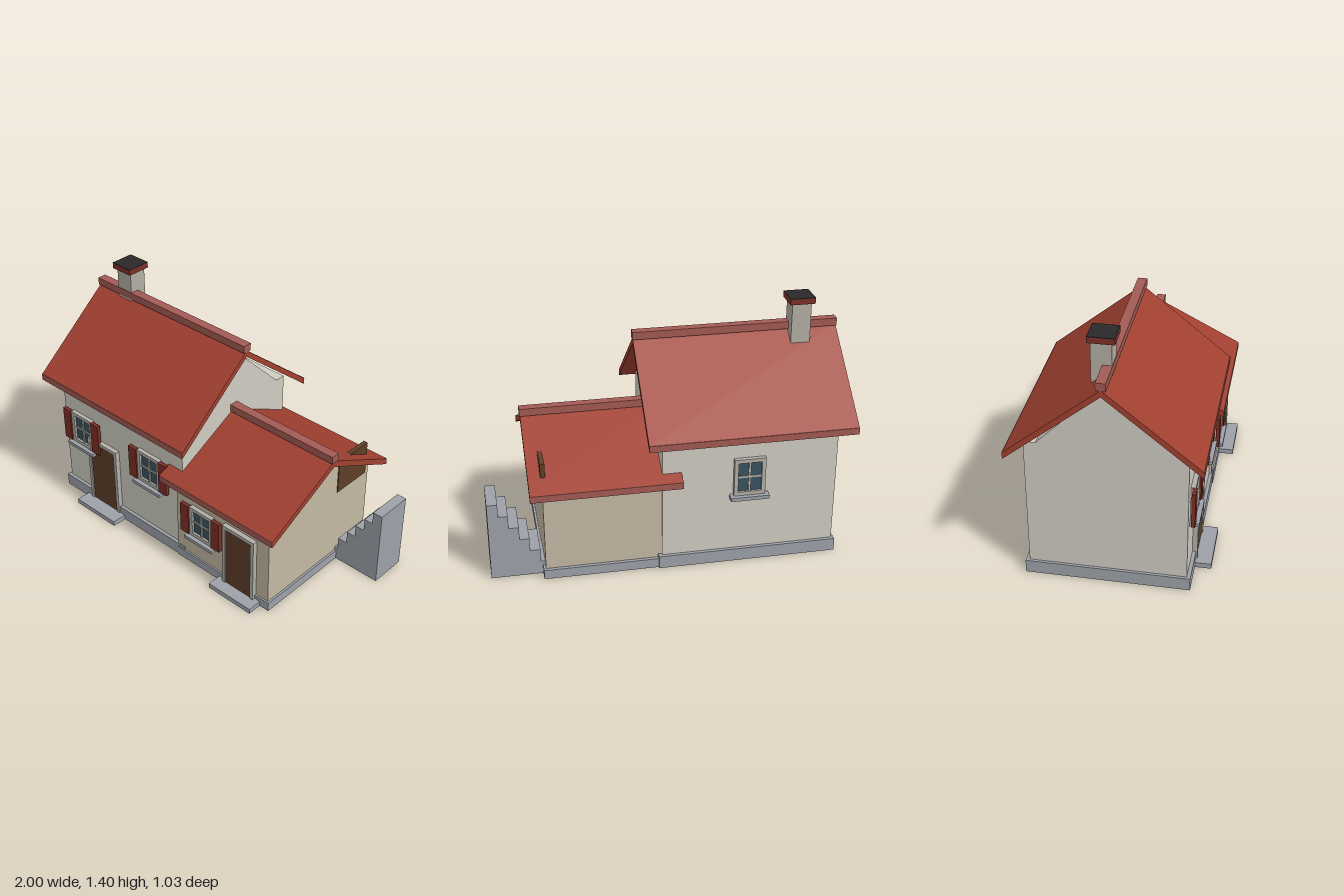
import * as THREE from 'three';

const mat = (color, side = THREE.FrontSide) =>
  new THREE.MeshStandardMaterial({ color, side, flatShading: true });

const M = {
  wall: mat(0xcfccc2), annexWall: mat(0xc3b8a3), stone: mat(0x9da1a8),
  roof: mat(0xa04030), ridge: mat(0xa35a54), shutter: mat(0x7d2f27),
  wood: mat(0x5e3f28), frame: mat(0xb3b0a8), glass: mat(0x3a5260),
  chimney: mat(0xb3aea3), soot: mat(0x2a2828),
};

// Box given by its min and max along each axis
function box(parent, name, material, [x0, x1], [y0, y1], [z0, z1]) {
  const mesh = new THREE.Mesh(new THREE.BoxGeometry(x1 - x0, y1 - y0, z1 - z0), material);
  mesh.position.set((x0 + x1) / 2, (y0 + y1) / 2, (z0 + z1) / 2);
  mesh.name = name;
  parent.add(mesh);
  return mesh;
}

// [z, y] cross-section drawn out along x
function prism(parent, name, material, points, x0, x1) {
  const shape = new THREE.Shape(points.map(([z, y]) => new THREE.Vector2(-z, y)));
  const geo = new THREE.ExtrudeGeometry(shape, { depth: x1 - x0, bevelEnabled: false });
  geo.rotateY(Math.PI / 2);
  const mesh = new THREE.Mesh(geo, material);
  mesh.position.x = x0;
  mesh.name = name;
  parent.add(mesh);
}

// Walls with a gable set slightly in from the eaves
function walls(parent, name, material, [x0, x1], [z0, z1], eave, gable, apex) {
  const c = (z0 + z1) / 2;
  prism(parent, name, material, [
    [z1, 0.02], [z1, eave], [c + gable, eave], [c, apex],
    [c - gable, eave], [z0, eave], [z0, 0.02],
  ], x0, x1);
}

// Pitched roof with eave boards and a ridge cap
function roof(parent, name, [x0, x1], c, half, eave, apex) {
  const t = 0.038;
  const g = new THREE.Group();
  g.name = name;
  prism(g, 'roofSlopes', M.roof, [
    [c + half, eave], [c + half, eave + t], [c, apex], [c - half, eave + t],
    [c - half, eave], [c, apex - t],
  ], x0, x1);
  for (const s of [-1, 1]) {
    const z = c + s * (half + 0.001);
    box(g, 'eaveBoard', M.ridge, [x0, x1], [eave, eave + t], [z - 0.002, z + 0.002]);
  }
  box(g, 'ridgeCap', M.ridge, [x0, x1 + 0.004], [apex - 0.005, apex + 0.038], [c - 0.026, c + 0.026]);
  parent.add(g);
}

// Four-pane window facing +z, its wall at local z = 0, y measured from the sill top
function makeWindow(parent, name, x, y, z, w, h, shutters) {
  const g = new THREE.Group();
  g.name = name;
  const b = 0.022, m = 0.006, d = 0.025;
  box(g, 'glass', M.glass, [-w / 2 + b, w / 2 - b], [b, h - b], [-0.01, 0.012]);
  for (const s of [-1, 1]) {
    const e = s * (w / 2 - b / 2);
    box(g, 'frameSide', M.frame, [e - b / 2, e + b / 2], [0, h], [-0.01, d]);
  }
  for (const y0 of [0, h - b])
    box(g, 'frameRail', M.frame, [-w / 2 + b, w / 2 - b], [y0, y0 + b], [-0.01, d]);
  box(g, 'verticalBar', M.frame, [-m, m], [b, h - b], [0, 0.019]);
  box(g, 'crossBar', M.frame, [-w / 2 + b, w / 2 - b], [h / 2 - m, h / 2 + m], [0, 0.018]);
  box(g, 'sill', M.stone, [-w / 2 - 0.02, w / 2 + 0.02], [-0.021, 0], [-0.01, 0.05]);
  if (shutters) for (const s of [-1, 1]) {
    const e = s * (w / 2 + 0.031);
    box(g, 'shutter', M.shutter, [e - 0.031, e + 0.031], [0.005, h + 0.002], [0.012, 0.033]);
  }
  g.position.set(x, y, z);
  parent.add(g);
  return g;
}

// Door with a three-sided surround and a doorstep
function makeDoor(parent, name, x, z, w, h, stepW) {
  const g = new THREE.Group();
  g.name = name;
  const b = 0.022, y = 0.03;
  box(g, 'doorLeaf', M.wood, [-w / 2, w / 2], [y, h], [-0.02, 0.022]);
  for (const s of [-1, 1]) {
    const e = s * (w / 2 + b / 2);
    box(g, 'doorJamb', M.frame, [e - b / 2, e + b / 2], [y, h], [-0.02, 0.028]);
  }
  box(g, 'doorLintel', M.frame, [-w / 2 - b, w / 2 + b], [h, h + b], [-0.02, 0.028]);
  box(g, 'doorStep', M.stone, [-stepW / 2, stepW / 2], [0, y], [-0.02, 0.515 - z]);
  g.position.set(x, 0, z);
  parent.add(g);
}

export function createModel() {
  const house = new THREE.Group();
  house.name = 'house';

  // Main house
  const main = new THREE.Group();
  main.name = 'mainHouse';
  house.add(main);
  box(main, 'mainPlinth', M.stone, [-0.93, 0.08], [0, 0.074], [-0.45, 0.427]);
  walls(main, 'mainWalls', M.wall, [-0.915, 0.06], [-0.43, 0.407], 0.82, 0.355, 1.175);
  roof(main, 'mainRoof', [-1, 0.145], -0.012, 0.5, 0.765, 1.21);
  for (const x of [-0.748, -0.19])
    makeWindow(main, 'mainWindow', x, 0.38, 0.407, 0.175, 0.207, true);
  const back = makeWindow(main, 'backWindow', -0.42, 0.42, -0.43, 0.175, 0.22, false);
  back.rotation.y = Math.PI;
  makeDoor(main, 'mainDoor', -0.58, 0.407, 0.2, 0.447, 0.32);

  // Chimney
  const chimney = new THREE.Group();
  chimney.name = 'chimney';
  main.add(chimney);
  box(chimney, 'chimneyStack', M.chimney, [-0.83, -0.722], [1.08, 1.37], [-0.095, 0.011]);
  box(chimney, 'chimneyCap', M.shutter, [-0.846, -0.706], [1.37, 1.401], [-0.11, 0.03]);
  box(chimney, 'chimneyTop', M.soot, [-0.846, -0.706], [1.401, 1.405], [-0.11, 0.03]);

  // Lower annex
  const annex = new THREE.Group();
  annex.name = 'annex';
  house.add(annex);
  box(annex, 'annexPlinth', M.stone, [0.03, 0.716], [0, 0.055], [-0.437, 0.431]);
  walls(annex, 'annexWalls', M.annexWall, [0.025, 0.703], [-0.417, 0.421], 0.57, 0.315, 0.768);
  roof(annex, 'annexRoof', [-0.045, 0.775], -0.003, 0.485, 0.517, 0.804);
  makeWindow(annex, 'annexWindow', 0.227, 0.221, 0.421, 0.168, 0.195, true);
  makeDoor(annex, 'annexDoor', 0.505, 0.421, 0.182, 0.408, 0.3);
  box(annex, 'loftHatch', M.wood, [0.682, 0.708], [0.48, 0.686], [-0.388, -0.14]);

  // Stone steps beside the annex
  const stairs = new THREE.Group();
  stairs.name = 'sideStairs';
  house.add(stairs);
  const edges = [0.68, 0.725, 0.782, 0.835, 0.89, 0.942, 1];
  for (let i = 0; i < 6; i++)
    box(stairs, 'stairStep', M.stone, [edges[i], edges[i + 1]], [0, 0.0765 * (i + 1)], [-0.374, -0.155]);

  return house;
}
